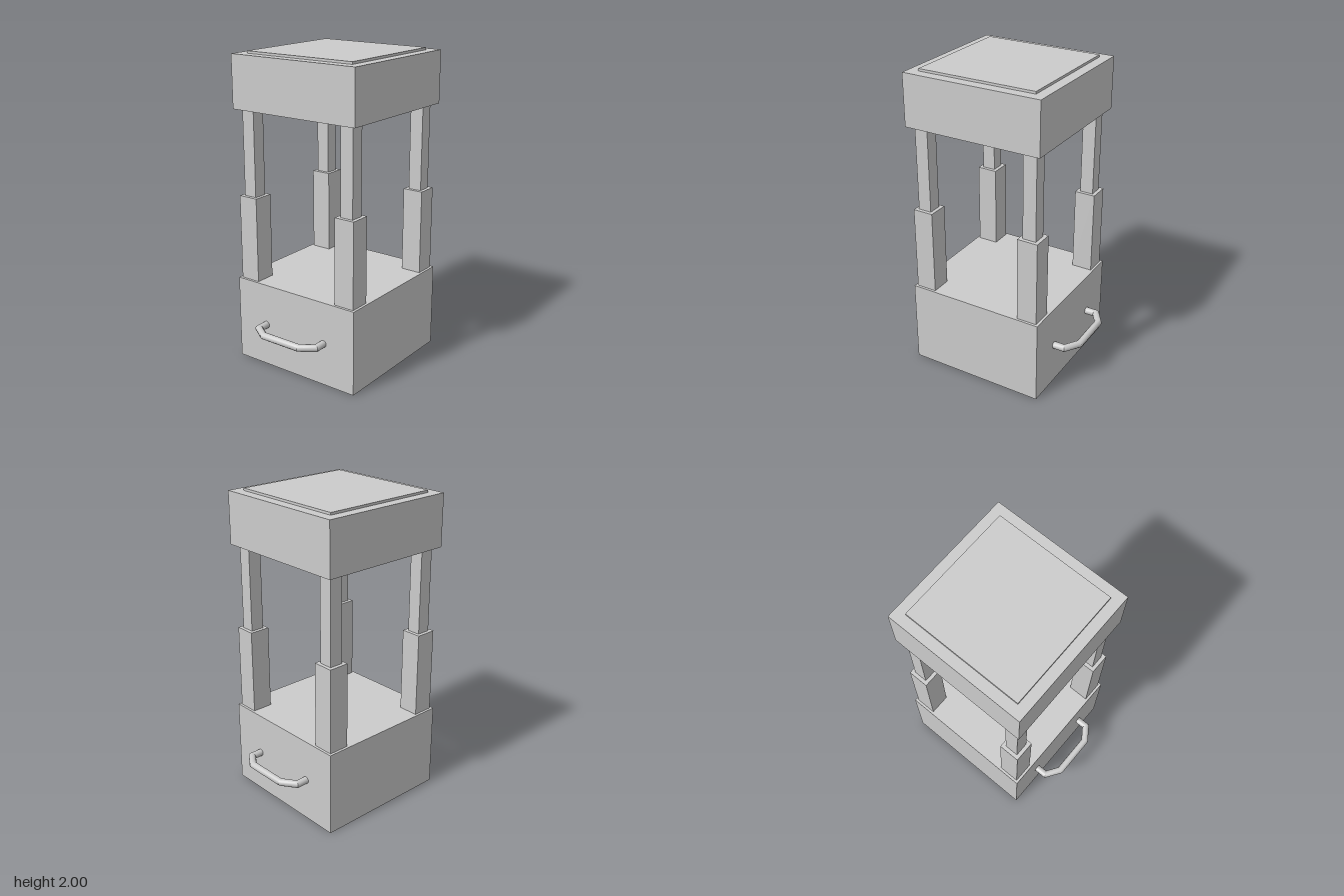
import * as THREE from 'three';
import { toCreasedNormals } from 'three/addons/utils/BufferGeometryUtils.js';

const material = new THREE.MeshStandardMaterial({ color: 0xcccccc });

// Square block spanning y0..y1, centred on (x, z)
function block(name, width, y0, y1, x = 0, z = 0) {
  const mesh = new THREE.Mesh(new THREE.BoxGeometry(width, y1 - y0, width), material);
  mesh.name = name;
  mesh.position.set(x, (y0 + y1) / 2, z);
  return mesh;
}

// Round bar with mitred corners along a path of [x, z] points in a level plane
function mitredBar(path, radius, sides = 12) {
  const points = path.map(([x, z]) => new THREE.Vector2(x, z));
  const normals = points.slice(1).map((p, i) => {
    const t = p.clone().sub(points[i]).normalize();
    return new THREE.Vector2(t.y, -t.x);
  });
  const positions = [], index = [];
  points.forEach((p, i) => {
    const n1 = normals[Math.max(i - 1, 0)];
    const n2 = normals[Math.min(i, normals.length - 1)];
    const mitre = n1.clone().add(n2).divideScalar(1 + n1.dot(n2));
    for (let j = 0; j < sides; j++) {
      const a = (j / sides) * Math.PI * 2;
      const out = Math.cos(a) * radius;
      positions.push(p.x + mitre.x * out, Math.sin(a) * radius, p.y + mitre.y * out);
      if (i === points.length - 1) continue;
      const k = i * sides + j, next = i * sides + (j + 1) % sides;
      index.push(k, next, k + sides, next, next + sides, k + sides);
    }
  });
  const geometry = new THREE.BufferGeometry();
  geometry.setAttribute('position', new THREE.Float32BufferAttribute(positions, 3));
  geometry.setIndex(index);
  return toCreasedNormals(geometry, 0.56);
}

export function createModel() {
  const model = new THREE.Group();
  model.name = 'pillarStand';

  // Base, top block and raised top plate
  model.add(
    block('base', 0.91, 0, 0.55),
    block('topBlock', 0.91, 1.65, 1.985),
    block('topPlate', 0.776, 1.985, 2)
  );

  // Four telescoping corner posts
  for (const sx of [-1, 1]) {
    for (const sz of [-1, 1]) {
      const post = new THREE.Group();
      post.name = `${sz > 0 ? 'front' : 'back'}${sx > 0 ? 'Left' : 'Right'}Post`;
      const x = sx * 0.371, z = sz * 0.371;
      post.add(
        block('lowerPost', 0.135, 0.55, 1.1, x, z),
        block('upperPost', 0.088, 1.1, 1.65, x, z)
      );
      model.add(post);
    }
  }

  // Bent pull handles, front and back
  const handleGeometry = mitredBar([
    [0.228, 0.45], [0.228, 0.527], [0.138, 0.588],
    [-0.138, 0.588], [-0.228, 0.527], [-0.228, 0.45]
  ], 0.023);
  ['frontHandle', 'backHandle'].forEach((name, i) => {
    const handle = new THREE.Mesh(handleGeometry, material);
    handle.name = name;
    handle.position.y = 0.278;
    handle.rotation.y = i * Math.PI;
    model.add(handle);
  });

  return model;
}
